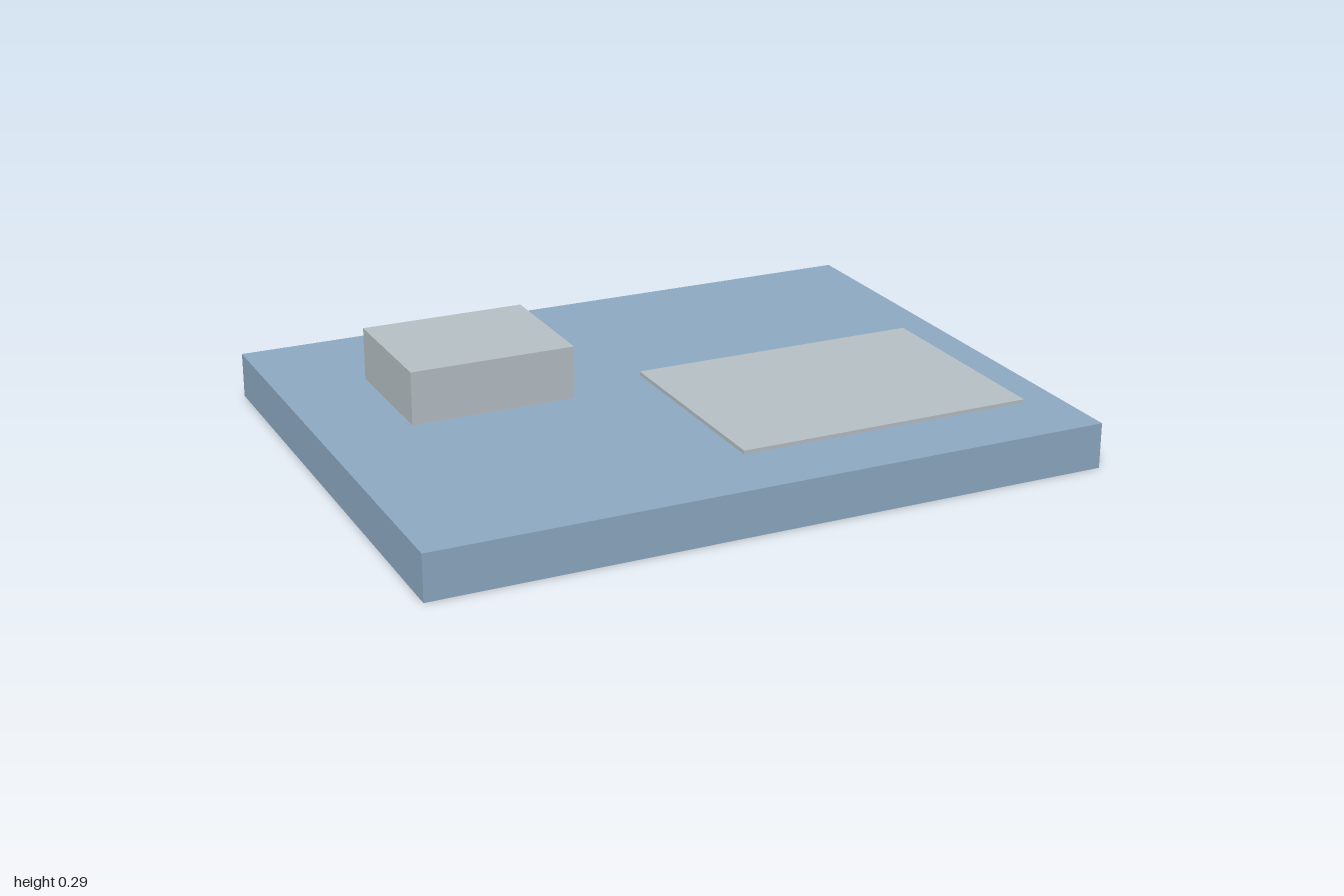
import * as THREE from 'three';

const baseBlue = new THREE.MeshStandardMaterial({ name: 'base blue', color: 0x8fabc4 });
const paleGrey = new THREE.MeshStandardMaterial({ name: 'pale grey', color: 0xb7c1c7 });

// Box given by its extent along each axis
function slab(name, material, [x0, x1], [y0, y1], [z0, z1]) {
  const mesh = new THREE.Mesh(new THREE.BoxGeometry(x1 - x0, y1 - y0, z1 - z0), material);
  mesh.position.set((x0 + x1) / 2, (y0 + y1) / 2, (z0 + z1) / 2);
  mesh.name = name;
  return mesh;
}

export function createModel() {
  const group = new THREE.Group();
  group.name = 'slabWithBlocks';
  const top = 0.134;
  group.add(
    // Wide base slab
    slab('base', baseBlue, [-1, 1], [0, top], [-0.778, 0.778]),
    // Raised block at the back
    slab('raisedBlock', paleGrey, [-0.734, -0.245], [top, 0.29], [-0.423, -0.023]),
    // Thin plate at the front
    slab('thinPlate', paleGrey, [0, 0.889], [top, 0.145], [-0.111, 0.555])
  );
  return group;
}
